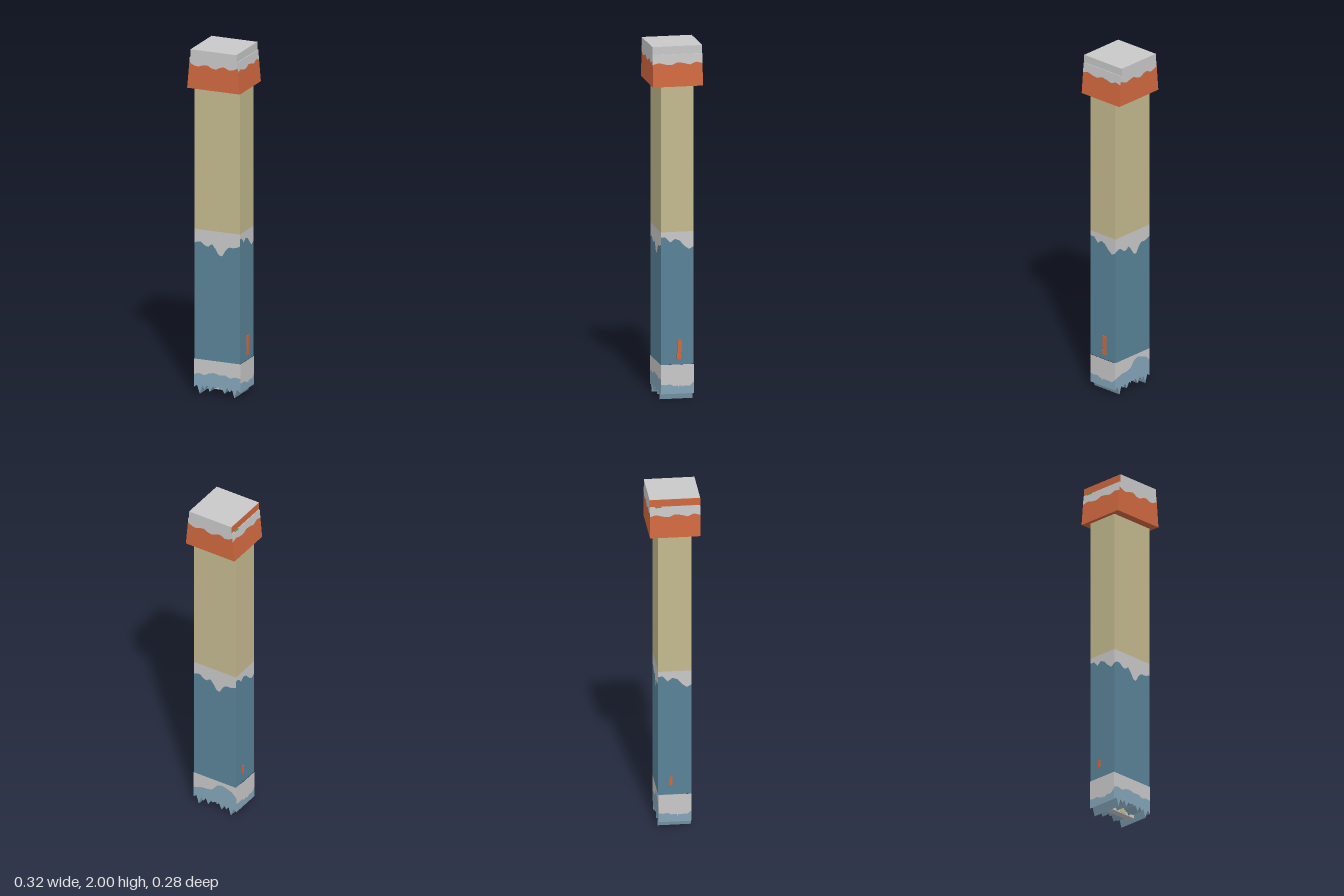
import * as THREE from 'three';

const mat = (name, color, side = THREE.FrontSide) => {
  const m = new THREE.MeshStandardMaterial({ color, side });
  m.name = name;
  return m;
};

export function createModel() {
  const root = new THREE.Group();
  const grey = mat('pale grey', 0xc8c8c8);
  const orange = mat('orange paint', 0xd0683f);
  const tan = mat('tan wood', 0xc3b98f);
  const blue = mat('blue paint', 0x598398);
  const lightBlue = mat('light blue paint', 0x84a5b8);
  const green = mat('green paint', 0x3fae4a);

  const add = (name, geometry, material, x = 0, y = 0, z = 0) => {
    const mesh = new THREE.Mesh(geometry, material);
    mesh.name = name;
    mesh.position.set(x, y, z);
    root.add(mesh);
    return mesh;
  };
  const box = (name, m, x0, x1, y0, y1, z0, z1) =>
    add(name, new THREE.BoxGeometry(x1 - x0, y1 - y0, z1 - z0), m,
      (x0 + x1) / 2, (y0 + y1) / 2, (z0 + z1) / 2);

  // point on a wall: sides run front, right-hand (+x), back, left-hand (-x)
  const onWall = (side, t, y, hx, hz) => [
    [t * hx(y), y, hz], [hx(y), y, -t * hz],
    [-t * hx(y), y, -hz], [-hx(y), y, t * hz],
  ][side];

  // height of an evenly spaced edge line at t in -1..1
  const heightAt = (line, t) => {
    const f = (t + 1) / 2 * (line.length - 1);
    const i = Math.min(Math.floor(f), line.length - 2);
    return line[i] + (line[i + 1] - line[i]) * (f - i);
  };

  // wall strip between two edge lines
  const strip = (name, m, side, low, high, hx, hz) => {
    const n = 28, pos = [], index = [];
    for (let i = 0; i <= n; i++) {
      const t = -1 + 2 * i / n;
      pos.push(...onWall(side, t, heightAt(low, t), hx, hz));
      pos.push(...onWall(side, t, heightAt(high, t), hx, hz));
      if (i < n) {
        const a = 2 * i;
        index.push(a, a + 2, a + 3, a, a + 3, a + 1);
      }
    }
    const g = new THREE.BufferGeometry();
    g.setAttribute('position', new THREE.Float32BufferAttribute(pos, 3));
    g.setIndex(index);
    g.computeVertexNormals();
    add(name, g, m);
  };

  // four walls, each split by a wavy paint line
  const paintedWalls = (name, y0, y1, waves, lower, upper, hx, hz) =>
    waves.forEach((wave, side) => {
      strip(name + 'Lower', lower, side, [y0, y0], wave, hx, hz);
      strip(name + 'Upper', upper, side, wave, [y1, y1], hx, hz);
    });

  // bare upper shaft
  const W = 0.138, D = 0.093;
  box('upperShaft', tan, -W, W, 0.95, 1.78, -D, D);

  // painted grip with drips
  const gripFront = [0.87, 0.88, 0.88, 0.86, 0.855, 0.875, 0.85, 0.815, 0.81, 0.85, 0.868, 0.865, 0.87, 0.88];
  const gripSide = [0.92, 0.92, 0.89, 0.91, 0.90, 0.87, 0.85, 0.865];
  paintedWalls('grip', 0.2, 0.95, [gripFront, gripSide, gripFront, gripSide],
    blue, grey, () => W, D);

  // base sleeve
  const baseFront = [0.11, 0.12, 0.11, 0.125, 0.13, 0.12, 0.125, 0.11, 0.12, 0.115];
  const baseBack = [0.10, 0.11, 0.12, 0.12, 0.13, 0.17, 0.18, 0.17, 0.16, 0.13];
  const baseSide = [0.09, 0.085, 0.09, 0.075, 0.07, 0.08, 0.075, 0.10];
  paintedWalls('base', 0.05, 0.2, [baseFront, baseSide, baseBack, baseSide],
    lightBlue, grey, () => 0.141, D);

  // toothed foot, a zigzag profile run from front to back
  const half = [[0.141, 0.035], [0.122, 0.05], [0.105, 0], [0.09, 0.05], [0.075, 0.03],
    [0.06, 0.055], [0.045, 0.018], [0.026, 0.052], [0.013, 0.04]];
  const foot = new THREE.Shape();
  foot.moveTo(-0.141, 0.06);
  half.forEach(([x, y]) => foot.lineTo(-x, y));
  foot.lineTo(0, 0.07);
  [...half].reverse().forEach(([x, y]) => foot.lineTo(x, y));
  foot.lineTo(0.141, 0.06);
  foot.lineTo(0.141, 0.08);
  foot.lineTo(-0.141, 0.08);
  add('toothedFoot', new THREE.ExtrudeGeometry(foot, { depth: 2 * D, bevelEnabled: false }),
    lightBlue, 0, 0, -D);
  box('footBar', grey, -0.09, 0.09, 0.015, 0.035, -0.02, 0.02);
  box('footPin', tan, -0.02, 0.02, 0.02, 0.06, -0.022, 0.022);

  // flared head with paint line
  const H = 0.141;
  const flare = y => 0.16 - (y - 1.775) / 0.18 * 0.016;
  const headFront = [1.925, 1.91, 1.905, 1.915, 1.92, 1.905, 1.9, 1.915, 1.92, 1.905, 1.91, 1.925];
  const headSide = [1.9, 1.91, 1.9, 1.895, 1.91, 1.905, 1.895, 1.91, 1.9];
  paintedWalls('head', 1.775, 1.955, [headFront, headSide, headFront, headSide],
    orange, grey, flare, H);
  box('headUnderside', orange, -0.159, 0.159, 1.775, 1.78, -0.14, 0.14);
  box('headLedge', grey, -0.143, 0.143, 1.95, 1.955, -0.14, 0.14);
  box('headCap', grey, -0.139, 0.139, 1.955, 2, -H, H);
  box('headStripe', orange, -0.1405, -0.139, 1.957, 1.999, -H, H);
  box('headMark', green, -0.145, -0.141, 1.951, 1.957, -0.11, -0.075);

  // small side marks low on the grip
  box('sideMarkTop', orange, W, W + 0.004, 0.272, 0.34, -0.026, 0.0);
  box('sideMarkNeck', orange, W, W + 0.003, 0.255, 0.272, -0.022, -0.004);
  box('sideMarkBottom', orange, W, W + 0.004, 0.23, 0.258, -0.024, 0.003);
  box('smallSideMark', orange, -W - 0.004, -W, 0.26, 0.31, -0.03, -0.015);

  return root;
}
